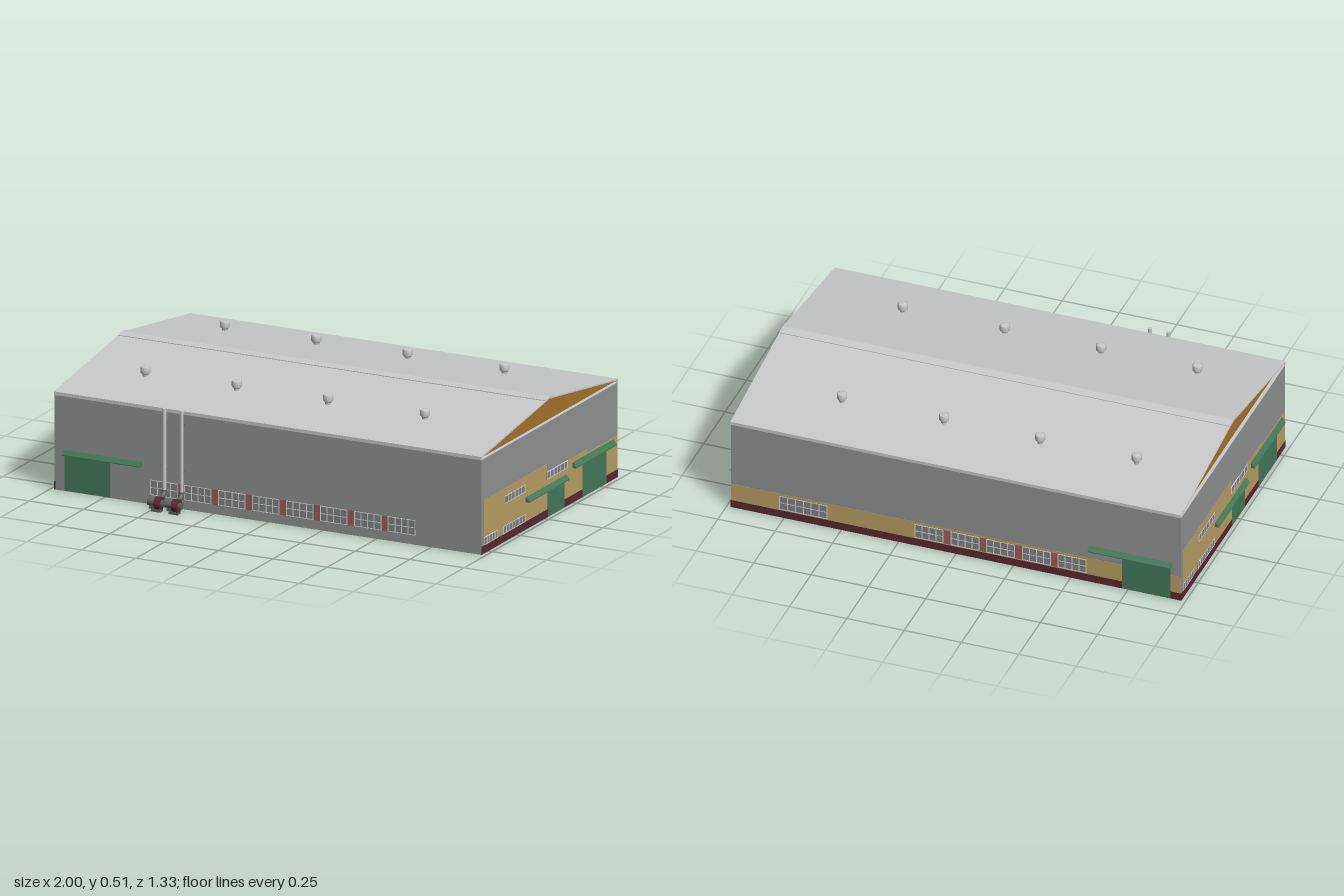
import * as THREE from 'three';

const mat = (name, color, side = THREE.FrontSide) => {
  const m = new THREE.MeshStandardMaterial({ color, side });
  m.name = name;
  return m;
};

export function createModel() {
  const wall = mat('wall grey', 0x909292), roofMat = mat('roof light grey', 0xc8c9cb, THREE.DoubleSide);
  const ochre = mat('gable ochre', 0xa5742c), sand = mat('sand paint', 0xb89f63);
  const maroon = mat('maroon', 0x58292e), green = mat('door green', 0x437a59);
  const brick = mat('brick red', 0x9a6058), glass = mat('glass grey', 0x808285);
  const white = mat('frame white', 0xd6d6d6), metal = mat('dark metal', 0x5c6060);

  const X = 0.982, BACK = -0.647, FRONT = 0.56, MID = (BACK + FRONT) / 2, HALF = (FRONT - BACK) / 2;
  const EAVE = 0.42, RIDGE = 0.508, WALL_TOP = 0.405;
  const model = new THREE.Group();
  model.name = 'warehouse';

  const add = (parent, name, geo, m, x = 0, y = 0, z = 0) => {
    const mesh = new THREE.Mesh(geo, m);
    mesh.name = name;
    mesh.position.set(x, y, z);
    parent.add(mesh);
    return mesh;
  };
  const box = (parent, name, m, x0, x1, y0, y1, z0, z1) =>
    add(parent, name, new THREE.BoxGeometry(x1 - x0, y1 - y0, z1 - z0), m,
      (x0 + x1) / 2, (y0 + y1) / 2, (z0 + z1) / 2);
  // Extrude a (u, y) outline, centred on depth
  const prism = (points, depth) => {
    const s = new THREE.Shape(points.map(p => new THREE.Vector2(...p)));
    return new THREE.ExtrudeGeometry(s, { depth, bevelEnabled: false }).translate(0, 0, -depth / 2);
  };

  // Facades: u runs right, z = 0 is the outer face
  const facade = (name, x, z, turn) => {
    const g = new THREE.Group();
    g.name = name;
    g.position.set(x, 0, z);
    g.rotation.y = turn;
    model.add(g);
    return g;
  };
  const T = 0.004;
  // Plate reaching just through the wall, so it shows on both faces
  const plate = (g, name, m, u0, u1, y0, y1, d) => box(g, name, m, u0, u1, y0, y1, -T - d, d);

  const windowUnit = (g, u0, u1, y0, y1, cols, rows) => {
    const w = new THREE.Group();
    w.name = 'window';
    g.add(w);
    plate(w, 'glass', glass, u0, u1, y0, y1, 0.002);
    const b = 0.002;
    for (let i = 0; i <= cols; i++) {
      const u = u0 + b + (u1 - u0 - 2 * b) * i / cols;
      plate(w, 'mullion', white, u - b, u + b, y0, y1, 0.003);
    }
    for (let j = 0; j <= rows; j++) {
      const y = y0 + 0.0015 + (y1 - y0 - 0.003) * j / rows;
      plate(w, 'glazing bar', white, u0, u1, y - 0.0015, y + 0.0015, 0.0028);
    }
  };
  // Row of windows with brick piers between
  const windowRow = (g, start, count) => {
    const step = 0.156, w = 0.126;
    for (let i = 0; i < count; i++) {
      const u = start + i * step;
      windowUnit(g, u, u + w, 0.04, 0.105, 4, 2);
      if (i < count - 1) plate(g, 'brick pier', brick, u + w, u + step, 0.04, 0.105, 0.0018);
    }
  };
  const door = (g, u0, u1, top) => plate(g, 'door', green, u0, u1, 0.002, top, 0.0025);
  // Sloping wedge canopy
  const canopy = (g, u0, u1, y0, y1) => {
    const geo = prism([[0, y0], [0, y1], [-0.006, y1], [-0.018, y0 + 0.004], [-0.018, y0]], u1 - u0);
    geo.rotateY(Math.PI / 2);
    add(g, 'canopy', geo, green, (u0 + u1) / 2, 0, 0);
  };

  // Front wall
  const front = facade('front wall', 0, FRONT, 0);
  box(front, 'wall', wall, -X, X, 0, WALL_TOP, -T, 0);
  windowRow(front, -0.54, 8);
  door(front, -0.935, -0.725, 0.155);
  canopy(front, -0.94, -0.58, 0.155, 0.176);

  // Back wall
  const back = facade('back wall', 0, BACK, Math.PI);
  box(back, 'wall', wall, -X, X, 0, WALL_TOP, -T, 0);
  plate(back, 'sand band', sand, -X + 0.002, X - 0.002, 0.035, 0.115, 0.001);
  plate(back, 'plinth', maroon, -X, X, 0.001, 0.035, 0.0015);
  windowUnit(back, -0.77, -0.56, 0.04, 0.105, 6, 2);
  windowRow(back, -0.18, 5);
  door(back, 0.725, 0.935, 0.155);
  canopy(back, 0.58, 0.94, 0.155, 0.176);

  // End walls, the left one being the right one turned half round
  for (const s of [1, -1]) {
    const end = facade(s > 0 ? 'left end wall' : 'right end wall', s * X, s > 0 ? 0 : 2 * MID, s * Math.PI / 2);
    box(end, 'wall', wall, -FRONT, -BACK, 0, WALL_TOP, -T, 0);
    for (const [u0, u1, top] of [[-0.542, 0.017, 0.23], [0.017, 0.375, 0.195], [0.375, 0.645, 0.18]])
      plate(end, 'sand panel', sand, u0, u1, 0.035, top, 0.001);
    plate(end, 'plinth', maroon, -FRONT, -BACK, 0.001, 0.035, 0.0015);
    windowUnit(end, -0.36, -0.177, 0.163, 0.196, 6, 1);
    windowUnit(end, 0.015, 0.2, 0.163, 0.196, 6, 1);
    windowUnit(end, -0.542, -0.42, 0.036, 0.07, 5, 1);
    windowUnit(end, -0.373, -0.175, 0.036, 0.07, 7, 1);
    door(end, 0.025, 0.172, 0.12);
    canopy(end, -0.17, 0.186, 0.118, 0.138);
    door(end, 0.332, 0.546, 0.152);
    canopy(end, 0.245, 0.605, 0.15, 0.173);

    // Gable set back behind a pale ledge
    const gable = prism([[-HALF + 0.004, WALL_TOP], [HALF - 0.004, WALL_TOP], [HALF - 0.004, EAVE - 0.005],
      [0, RIDGE - 0.005], [-HALF + 0.004, EAVE - 0.005]], 0.006).rotateY(Math.PI / 2);
    add(model, 'gable', gable, ochre, s * (X - 0.018), 0, MID);
    box(model, 'gable ledge', roofMat, s * X - 0.011 - s * 0.011, s * X + 0.011 - s * 0.011,
      WALL_TOP - 0.002, WALL_TOP + 0.001, BACK, FRONT);
  }

  // Roof sheet, ridge cap and eave fascias
  const E = HALF + 0.004, t = 0.006;
  const roof = prism([[-E, EAVE - t], [0, RIDGE - t], [E, EAVE - t], [E, EAVE], [0, RIDGE], [-E, EAVE]], 2 * X + 0.002);
  add(model, 'roof', roof.rotateY(Math.PI / 2), roofMat, 0, 0, MID);
  const capDrop = (RIDGE - EAVE) / E * 0.04;
  const cap = prism([[-0.04, RIDGE - capDrop], [0.04, RIDGE - capDrop], [0.04, RIDGE - capDrop + 0.003],
    [0, RIDGE + 0.003], [-0.04, RIDGE - capDrop + 0.003]], 2 * X + 0.002);
  add(model, 'ridge cap', cap.rotateY(Math.PI / 2), roofMat, 0, 0, MID);
  for (const [z0, z1] of [[BACK - 0.003, BACK + 0.003], [FRONT - 0.003, FRONT + 0.003]])
    box(model, 'eave fascia', roofMat, -X, X, WALL_TOP, EAVE - 0.001, z0, z1);

  // Roof vents
  const ventProfile = [[0.012, 0.44], [0.012, 0.463], [0.016, 0.467], [0.021, 0.472], [0.021, 0.494], [0.016, 0.497], [0, 0.497]]
    .map(p => new THREE.Vector2(...p));
  for (const x of [-0.695, -0.275, 0.145, 0.59])
    for (const z of [0.306, -0.4])
      add(model, 'roof vent', new THREE.LatheGeometry(ventProfile, 16), roofMat, x, 0, z);

  // Extractor fans with tall stacks
  for (const x of [-0.463, -0.383]) {
    const fan = new THREE.Group();
    fan.name = 'extractor fan';
    fan.position.x = x;
    model.add(fan);
    add(fan, 'stack', new THREE.CylinderGeometry(0.008, 0.008, 0.36, 16), roofMat, 0, 0.248, 0.586);
    const bend = new THREE.QuadraticBezierCurve3(new THREE.Vector3(0, 0.052, 0.628),
      new THREE.Vector3(0, 0.05, 0.588), new THREE.Vector3(0, 0.082, 0.586));
    add(fan, 'elbow', new THREE.TubeGeometry(bend, 10, 0.011, 12), metal);
    const along = (r, len) => new THREE.CylinderGeometry(r, r, len, 20).rotateZ(Math.PI / 2);
    add(fan, 'fan casing', along(0.027, 0.026), maroon, 0, 0.036, 0.634);
    add(fan, 'inlet ring', along(0.015, 0.012), metal, 0.018, 0.036, 0.634);
    add(fan, 'motor', along(0.014, 0.036), metal, -0.031, 0.036, 0.634);
    box(fan, 'stand', metal, -0.03, 0.012, 0, 0.012, 0.62, 0.648);
    box(fan, 'motor foot', metal, -0.042, -0.022, 0.01, 0.026, 0.626, 0.642);
    for (const y of [0.16, 0.36]) box(fan, 'stack bracket', metal, -0.002, 0.002, y, y + 0.004, FRONT, 0.582);
  }
  return model;
}
